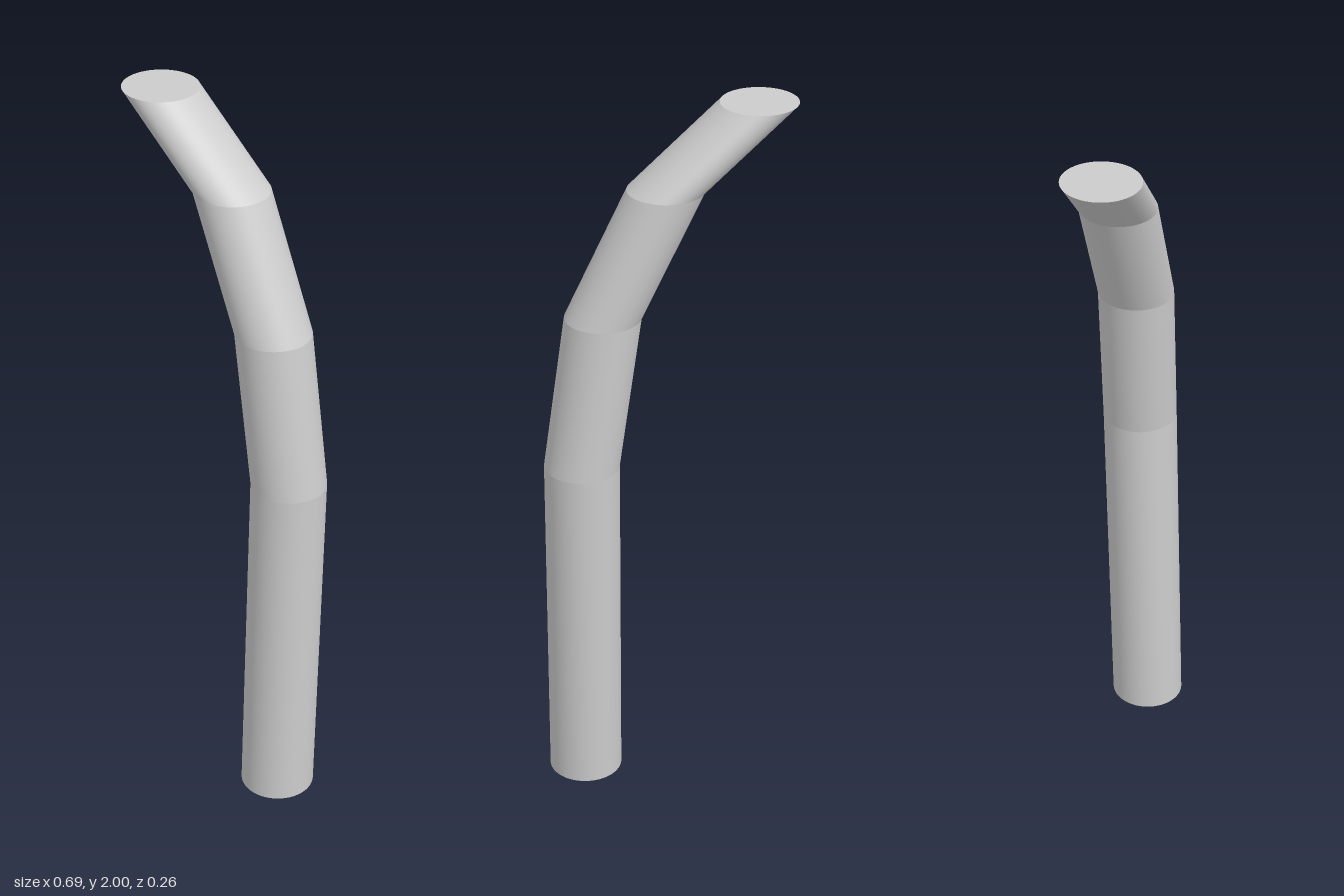
import * as THREE from 'three';

const RADIUS = 0.103;

// Centres of the level, circular cross-sections from foot to tip
const CENTRES = [
  [0.238, 0, 0.026],
  [0.241, 1, 0],
  [0.177, 1.438, -0.003],
  [0.009, 1.788, -0.025],
  [-0.243, 2, -0.027],
].map((p) => new THREE.Vector3(...p));

// Upright cylinder sheared so its level ends sit on the two centres
function slantedCylinder(a, b) {
  const height = b.y - a.y;
  const kx = (b.x - a.x) / height;
  const kz = (b.z - a.z) / height;
  const shear = new THREE.Matrix4().set(
    1, kx, 0, a.x,
    0, 1, 0, a.y,
    0, kz, 1, a.z,
    0, 0, 0, 1,
  );
  return new THREE.CylinderGeometry(RADIUS, RADIUS, height, 64, 1, true)
    .translate(0, height / 2, 0)
    .applyMatrix4(shear);
}

export function createModel() {
  const model = new THREE.Group();
  model.name = 'bentPipe';
  const material = new THREE.MeshStandardMaterial({ color: 0xcccccc });

  const add = (name, geometry) => {
    const mesh = new THREE.Mesh(geometry, material);
    mesh.name = name;
    model.add(mesh);
    return mesh;
  };

  // Pipe sections, each leaning further than the one below
  const names = ['lowerShaft', 'firstBend', 'secondBend', 'tip'];
  names.forEach((name, i) => add(name, slantedCylinder(CENTRES[i], CENTRES[i + 1])));

  // Flat end caps
  const disc = new THREE.CircleGeometry(RADIUS, 64);
  const foot = add('footCap', disc);
  foot.rotation.x = Math.PI / 2;
  foot.position.copy(CENTRES[0]);
  const top = add('topCap', disc);
  top.rotation.x = -Math.PI / 2;
  top.position.copy(CENTRES[CENTRES.length - 1]);

  return model;
}
